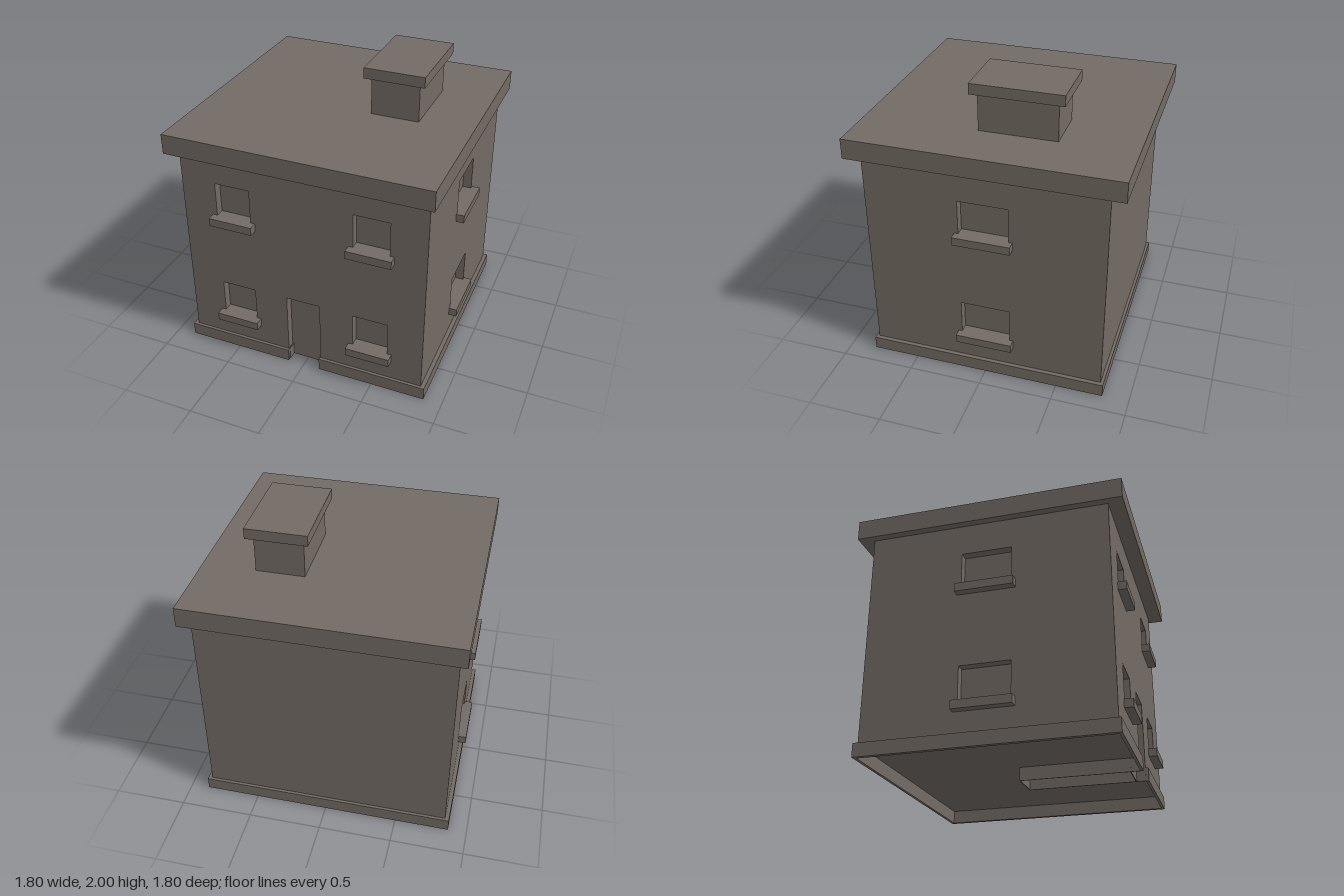
import * as THREE from 'three';

export function createModel() {
  const house = new THREE.Group();
  house.name = 'house';
  const stone = new THREE.MeshStandardMaterial({ color: 0x736a64 });
  stone.name = 'stone';

  const add = (name, geometry) => {
    const mesh = new THREE.Mesh(geometry, stone);
    mesh.name = name;
    house.add(mesh);
    return mesh;
  };
  // Box given by its lower and upper limits on each axis
  const box = (name, x0, x1, y0, y1, z0, z1) => {
    const mesh = add(name, new THREE.BoxGeometry(x1 - x0, y1 - y0, z1 - z0));
    mesh.position.set((x0 + x1) / 2, (y0 + y1) / 2, (z0 + z1) / 2);
    return mesh;
  };
  const outline = (points) => new THREE.Shape(points.map(([x, y]) => new THREE.Vector2(x, y)));

  const W = 0.845, D = 0.8, R = 0.06;     // half width, half depth, recess depth
  const bottom = 0.09, top = 1.53;
  const sills = [0.29, 1.08];             // sill heights of the two floors
  const windowHeight = 0.24;

  const cutWindow = (shape, cx, half, y) => {
    shape.holes.push(new THREE.Path([
      new THREE.Vector2(cx - half, y), new THREE.Vector2(cx - half, y + windowHeight),
      new THREE.Vector2(cx + half, y + windowHeight), new THREE.Vector2(cx + half, y),
    ]));
  };
  const extrude = (shape, depth) => new THREE.ExtrudeGeometry(shape, { depth, bevelEnabled: false });

  // Inner core forms the backs of the window and door recesses
  box('core', -W + R, W - R, bottom, top, -D + R, D - R);
  box('backWall', -W, W, bottom, top, -D, -D + R);

  // Front wall with a door notch and four windows
  const front = outline([
    [-W, bottom], [-0.12, bottom], [-0.12, 0.535], [0.12, 0.535],
    [0.12, bottom], [W, bottom], [W, top], [-W, top],
  ]);
  for (const y of sills) for (const x of [-0.48, 0.48]) {
    cutWindow(front, x, 0.122, y);
    box('frontSill', x - 0.153, x + 0.153, y - 0.057, y, D - R, 0.858);
  }
  add('frontWall', extrude(front, R)).position.z = D - R;

  // Side walls, each with one window per floor
  for (const side of [-1, 1]) {
    const shape = outline([[-D + R, bottom], [D - R, bottom], [D - R, top], [-D + R, top]]);
    for (const y of sills) {
      cutWindow(shape, 0, 0.167, y);
      const sill = box('sideSill', -0.06, 0.06, y - 0.057, y, -0.193, 0.193);
      sill.position.x = side * 0.84;
    }
    const wall = add('sideWall', extrude(shape, R));
    wall.rotation.y = side * Math.PI / 2;
    wall.position.x = side * (W - R);
  }

  // Hollow plinth, open at the door
  const plinth = outline([
    [-0.115, -0.82], [-0.115, -D], [-W, -D], [-W, D], [W, D], [W, -D], [0.115, -D],
    [0.115, -0.82], [0.873, -0.82], [0.873, 0.82], [-0.873, 0.82], [-0.873, -0.82],
  ]);
  add('plinth', extrude(plinth, bottom).rotateX(-Math.PI / 2));

  // Door foot and the channel walls under the floor
  box('doorFoot', -0.12, 0.12, 0, bottom + 0.01, D - R - 0.006, D - R);
  for (const x of [-0.118, 0.112]) box('channelWall', x, x + 0.006, 0, bottom, 0.01, D);
  box('channelEnd', -0.118, 0.118, 0, bottom, 0.01, 0.016);

  // Flat roof and chimney
  box('roof', -0.898, 0.898, top, 1.667, -0.9, 0.9);
  box('chimney', 0.21, 0.537, 1.667, 1.927, -0.395, 0.127);
  box('chimneyCap', 0.17, 0.58, 1.927, 2, -0.443, 0.168);

  return house;
}
